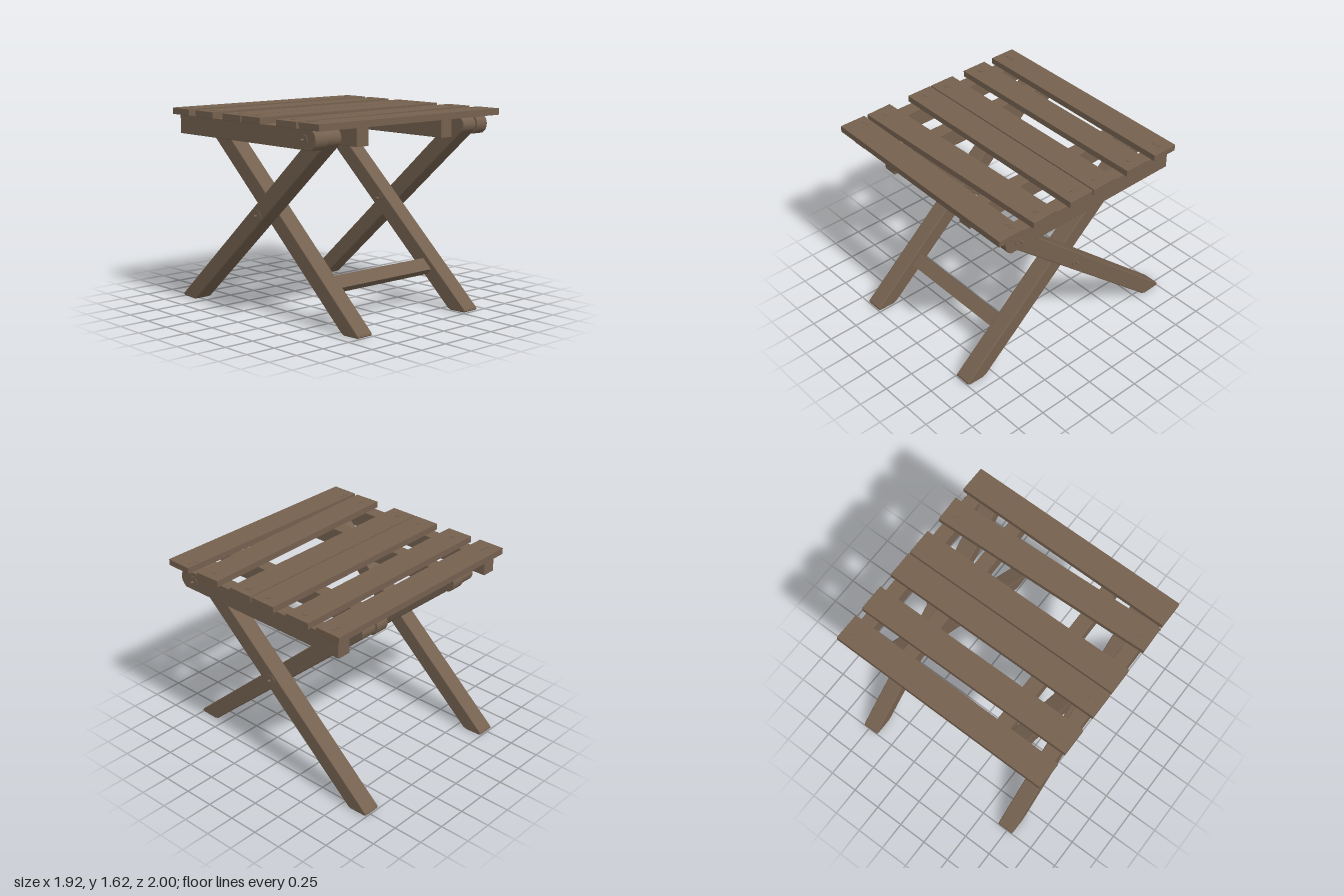
import * as THREE from 'three';

const wood = new THREE.MeshStandardMaterial({ color: 0x75614f });
wood.name = 'brown wood';

// Extrude a (z, y) side profile across x, centred on x = 0, with softened edges.
function sideProfile(shape, width, bevel) {
  const geo = new THREE.ExtrudeGeometry(shape, {
    depth: width - 2 * bevel, bevelThickness: bevel, bevelSize: bevel,
    bevelOffset: -bevel, bevelSegments: 2, curveSegments: 16,
  });
  geo.translate(0, 0, -(width - 2 * bevel) / 2);
  return geo.rotateY(-Math.PI / 2);
}

export function createModel() {
  const model = new THREE.Group();
  model.name = 'foldingStool';

  function add(name, geo, x, y, z, parent = model) {
    const mesh = new THREE.Mesh(geo, wood);
    mesh.name = name;
    mesh.position.set(x, y, z);
    parent.add(mesh);
    return mesh;
  }

  // Leg: round top, runs down to a foot cut level with the floor
  const crossY = 0.815, topY = 1.482, topZ = 0.75, half = 0.073;
  const angle = Math.atan(0.885), c = Math.cos(angle), s = Math.sin(angle);
  const legShape = new THREE.Shape();
  legShape.moveTo(-0.845, 0);
  legShape.lineTo(-0.815, 0.012);
  legShape.lineTo(topZ + s * half, topY - c * half);
  legShape.absarc(topZ, topY, half, angle - Math.PI / 2, angle + Math.PI / 2, false);
  legShape.lineTo(-0.995, 0.03);
  legShape.lineTo(-1, 0.014);
  legShape.lineTo(-0.985, 0.004);
  const legGeo = sideProfile(legShape, 0.146, 0.008);

  // Seat rail: square at one end, bowed at the pivot end
  const railShape = new THREE.Shape();
  railShape.moveTo(-0.828, 1.405);
  railShape.lineTo(0.785, 1.405);
  railShape.bezierCurveTo(0.853, 1.435, 0.853, 1.53, 0.785, 1.56);
  railShape.lineTo(-0.828, 1.56);
  const railGeo = sideProfile(railShape, 0.12, 0.004);

  // Bolts: flat washer with a small rounded pin, axis along x
  const washerGeo = new THREE.CylinderGeometry(0.048, 0.048, 0.008, 24).rotateZ(Math.PI / 2);
  const pinGeo = new THREE.CapsuleGeometry(0.011, 0.02, 4, 10).rotateZ(Math.PI / 2);
  function addBolt(name, x, y, z, dir) {
    const bolt = new THREE.Group();
    bolt.name = name;
    bolt.position.set(x, y, z);
    add('washer', washerGeo, 0, 0, 0, bolt);
    add('pin', pinGeo, dir * 0.008, 0, 0, bolt);
    model.add(bolt);
  }

  for (const [side, m] of [['left', 1], ['right', -1]]) {
    add(side + 'OuterLeg', legGeo, m * 0.73, 0, 0);
    add(side + 'InnerLeg', legGeo, m * 0.583, 0, 0).rotation.y = Math.PI;
    add(side + 'OuterRail', railGeo, m * 0.862, 0, 0);
    add(side + 'InnerRail', railGeo, m * 0.452, 0, 0).rotation.y = Math.PI;
    addBolt(side + 'OuterCrossBolt', m * 0.804, crossY, 0, m);
    addBolt(side + 'InnerCrossBolt', m * 0.511, crossY, 0, -m);
    addBolt(side + 'OuterRailBolt', m * 0.923, 1.478, 0.7, m);
    addBolt(side + 'InnerRailBolt', m * 0.391, 1.478, -0.7, -m);
  }

  // Stretcher between the inner legs, in line with their slope
  const bar = add('stretcher', new THREE.BoxGeometry(1.03, 0.06, 0.12), 0, 0.318, 0.56);
  bar.rotation.x = angle;

  // Seat slats: [centre z, yaw, screws per end, screw offset in z]
  const slats = [
    [-0.763, -0.008, 2, -0.012],
    [-0.455, 0, 1, -0.005],
    [-0.104, 0, 1, 0.01],
    [0.133, 0, 1, -0.01],
    [0.521, 0.028, 1, -0.006],
    [0.811, -0.008, 2, -0.066],
  ];
  const slatShape = new THREE.Shape();
  slatShape.moveTo(-0.113, -0.026);
  slatShape.lineTo(0.113, -0.026);
  slatShape.lineTo(0.113, 0.026);
  slatShape.lineTo(-0.113, 0.026);
  const slatGeo = sideProfile(slatShape, 1.918, 0.003);
  const screwGeo = new THREE.CylinderGeometry(0.028, 0.028, 0.008, 20);
  const smallScrewGeo = new THREE.CylinderGeometry(0.02, 0.02, 0.008, 16);
  slats.forEach(([z, yaw, count, dz], i) => {
    const slat = new THREE.Group();
    slat.name = 'seatSlat' + (i + 1);
    slat.position.set(0, 1.585, z);
    slat.rotation.y = yaw;
    add('board', slatGeo, 0, 0, 0, slat);
    for (const m of [1, -1]) {
      if (count === 1) add('screwCap', screwGeo, m * 0.865, 0.026, dz, slat);
      else for (const dx of [-0.022, 0.022]) add('screwCap', smallScrewGeo, m * 0.865 + dx, 0.026, dz, slat);
    }
    model.add(slat);
  });

  return model;
}
